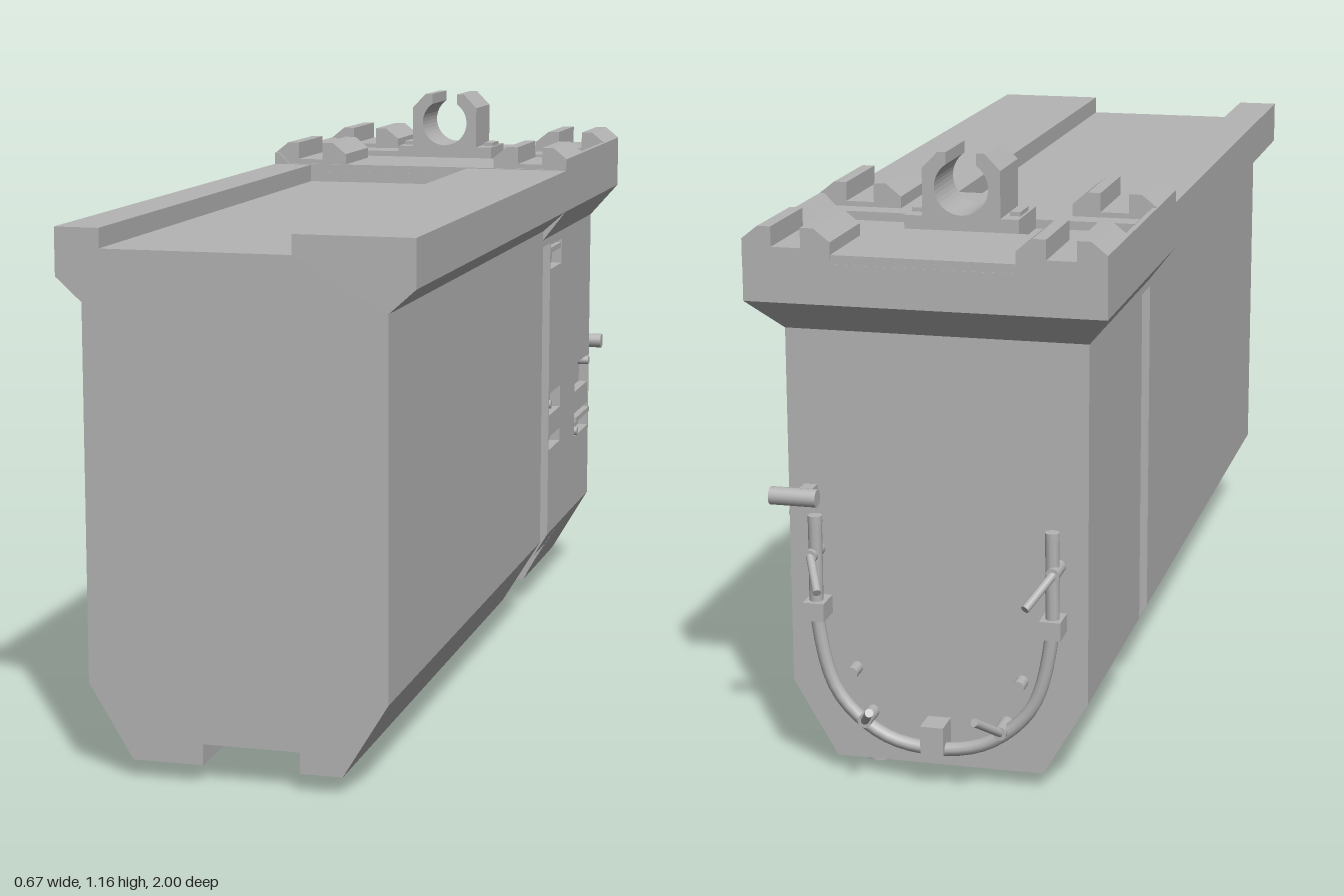
import * as THREE from 'three';

const grey = new THREE.MeshStandardMaterial({ color: 0xb4b4b4 });
grey.name = 'plain grey';

export function createModel() {
  const model = new THREE.Group();
  model.name = 'dispenserUnit';

  function add(name, geometry) {
    const mesh = new THREE.Mesh(geometry, grey);
    mesh.name = name;
    model.add(mesh);
    return mesh;
  }
  const outline = (pts) => new THREE.Shape(pts.map(([x, y]) => new THREE.Vector2(x, y)));
  // Extrude an x-y outline between two z positions
  function slab(name, shape, z0, z1) {
    const g = new THREE.ExtrudeGeometry(Array.isArray(shape) ? outline(shape) : shape,
      { depth: z1 - z0, bevelEnabled: false, curveSegments: 16 });
    return add(name, g.translate(0, 0, z0));
  }
  // Box given by its limits
  function block(name, x0, x1, y0, y1, z0, z1) {
    const g = new THREE.BoxGeometry(x1 - x0, y1 - y0, z1 - z0);
    return add(name, g.translate((x0 + x1) / 2, (y0 + y1) / 2, (z0 + z1) / 2));
  }
  // Cylinder between two points
  function rod(name, a, b, r) {
    const p = new THREE.Vector3(...a), q = new THREE.Vector3(...b);
    const mesh = add(name, new THREE.CylinderGeometry(r, r, p.distanceTo(q), 16));
    mesh.position.copy(p).add(q).multiplyScalar(0.5);
    mesh.quaternion.setFromUnitVectors(new THREE.Vector3(0, 1, 0), q.sub(p).normalize());
    return mesh;
  }

  // Long main body with a channel in the top and a groove underneath
  slab('mainBody', [
    [-0.2, 0.035], [-0.065, 0.035], [-0.065, 0.075], [0.12, 0.075], [0.12, 0.035], [0.2, 0.035],
    [0.285, 0.175], [0.285, 0.88], [0.335, 0.925], [0.335, 1.015], [0.11, 1.015], [0.11, 0.978],
    [-0.25, 0.978], [-0.25, 1.015], [-0.335, 1.015], [-0.335, 0.925], [-0.285, 0.88], [-0.285, 0.175],
  ], -0.31, 1);

  // Rear module: core, set back on the left side behind the skin panel
  slab('rearModuleCore', [
    [-0.2, 0.03], [0.2, 0.03], [0.285, 0.175], [0.262, 0.176], [0.262, 0.87],
    [-0.285, 0.87], [-0.285, 0.175],
  ], -0.87, -0.525);
  slab('rearModuleFront', [
    [-0.23, 0.125], [0.255, 0.125], [0.285, 0.175], [0.262, 0.176], [0.262, 0.87],
    [-0.285, 0.87], [-0.285, 0.175], [-0.255, 0.125],
  ], -0.525, -0.39);
  slab('lowerLip', [[-0.212, 0.05], [0.212, 0.05], [0.255, 0.125], [-0.255, 0.125]], -0.525, -0.505);

  // Side skin with pockets, drawn in (-z, y)
  const skin = outline([[0.39, 0.175], [0.87, 0.175], [0.87, 0.87], [0.39, 0.87]]);
  const pockets = [
    [0.396, 0.52, 0.45, 0.5], [0.396, 0.52, 0.37, 0.4],
    [0.396, 0.52, 0.785, 0.84], [0.695, 0.864, 0.345, 0.52],
  ];
  for (const [a, b, y0, y1] of pockets) {
    skin.holes.push(new THREE.Path([[a, y0], [a, y1], [b, y1], [b, y0]].map((p) => new THREE.Vector2(...p))));
  }
  const skinGeometry = new THREE.ExtrudeGeometry(skin, { depth: 0.023, bevelEnabled: false });
  add('sideSkin', skinGeometry.rotateY(Math.PI / 2).translate(0.262, 0, 0));
  block('pocketBar', 0.26, 0.283, 0.4, 0.452, -0.866, -0.705);
  block('pocketBar', 0.26, 0.288, 0.378, 0.39, -0.866, -0.705);
  block('pocketBar', 0.26, 0.283, 0.82, 0.832, -0.52, -0.395);
  rod('pocketScrew', [0.262, 0.475, -0.405], [0.288, 0.475, -0.405], 0.01);
  rod('pocketScrew', [0.262, 0.355, -0.72], [0.288, 0.355, -0.72], 0.01);
  rod('pocketScrew', [0.262, 0.505, -0.855], [0.288, 0.505, -0.855], 0.01);

  // Head plate with tapered underside
  block('neck', -0.285, 0.285, 0.845, 0.9, -0.39, -0.3);
  const taper = new THREE.BoxGeometry(0.67, 0.065, 0.64).translate(0, 0.8925, -0.63);
  const pos = taper.attributes.position;
  for (let i = 0; i < pos.count; i++) {
    if (pos.getY(i) < 0.89) {
      pos.setX(i, Math.sign(pos.getX(i)) * 0.285);
      if (pos.getZ(i) < -0.9) pos.setZ(i, -0.87);
    }
  }
  taper.computeVertexNormals();
  add('headUnderside', taper);
  block('headPlate', -0.335, 0.335, 0.925, 1.0, -0.95, -0.31);
  block('headLedge', -0.33, 0.33, 1.0, 1.017, -0.55, -0.311);
  block('headLedge', -0.33, 0.33, 1.0, 1.017, -0.949, -0.69);

  // Outer edges and grooved rail blocks on both sides
  for (const s of [1, -1]) {
    slab('headEdge', [[s * 0.335, 0.99], [s * 0.335, 1.04], [s * 0.325, 1.04], [s * 0.3, 1.015], [s * 0.3, 0.99]], -0.95, -0.31);
    const rail = [
      [0.335, 1.0], [0.335, 1.04], [0.305, 1.064], [0.28, 1.064], [0.28, 1.027], [0.225, 1.027],
      [0.225, 1.064], [0.2, 1.064], [0.17, 1.04], [0.17, 1.0],
    ].map(([x, y]) => [s * x, y]);
    slab('railBlock', rail, -0.502, -0.315);
    slab('railBlock', rail, -0.951, -0.77);
  }

  // Open ring clip on the head
  const cy = 1.097, r = 0.052, a0 = Math.acos(0.029 / r);
  const clip = new THREE.Shape();
  clip.moveTo(-0.11, 1.0);
  [[0.11, 1.0], [0.11, 1.042], [0.075, 1.042], [0.075, 1.132], [0.045, 1.163], [0.029, 1.163]]
    .forEach((p) => clip.lineTo(...p));
  clip.lineTo(0.029, cy + r * Math.sin(a0));
  clip.absarc(0, cy, r, a0, Math.PI - a0 - Math.PI * 2, true);
  [[-0.029, 1.163], [-0.045, 1.163], [-0.075, 1.132], [-0.075, 1.042], [-0.11, 1.042]]
    .forEach((p) => clip.lineTo(...p));
  slab('ringClip', clip, -0.685, -0.55);
  for (const s of [1, -1]) block('clipTab', s * 0.095 - 0.01, s * 0.095 + 0.01, 1.04, 1.05, -0.65, -0.59);

  // U-shaped hose on the back with its holders
  const half = [[0.225, 0.51], [0.225, 0.42], [0.222, 0.3], [0.185, 0.17], [0.1, 0.095]];
  const path = [...half, [0, 0.075], ...half.slice().reverse().map(([x, y]) => [-x, y])]
    .map(([x, y]) => new THREE.Vector3(x, y, -0.903));
  add('hose', new THREE.TubeGeometry(new THREE.CatmullRomCurve3(path), 48, 0.013, 10, false));
  for (const s of [1, -1]) {
    rod('hoseEnd', [s * 0.225, 0.5, -0.903], [s * 0.225, 0.515, -0.903], 0.0135);
    block('hoseHolder', s * 0.225 - 0.02, s * 0.225 + 0.02, 0.315, 0.35, -0.925, -0.87);
    rod('standOff', [s * 0.16, 0.21, -0.87], [s * 0.16, 0.21, -0.905], 0.012);
    // Tilted clamp levers
    for (const [x, y, dx] of [[0.195, 0.44, 0.035], [0.1, 0.125, 0.03]]) {
      const end = y > 0.3 ? -0.045 : 0.045;
      rod('clampLever', [s * (x + dx), y, -0.92], [s * x, y + end, -0.99], 0.008);
      rod('clampFoot', [s * (x + dx), y, -0.87], [s * (x + dx), y, -0.925], 0.013);
    }
  }
  block('hoseHolder', -0.022, 0.022, 0.07, 0.125, -0.925, -0.87);

  // Side peg and bottom outlet
  rod('sidePeg', [0.22, 0.547, -0.902], [0.31, 0.547, -0.902], 0.017);
  block('pegBracket', 0.23, 0.255, 0.53, 0.564, -0.9, -0.865);
  rod('bottomOutlet', [0.143, 0, -0.79], [0.143, 0.04, -0.79], 0.023);

  return model;
}
